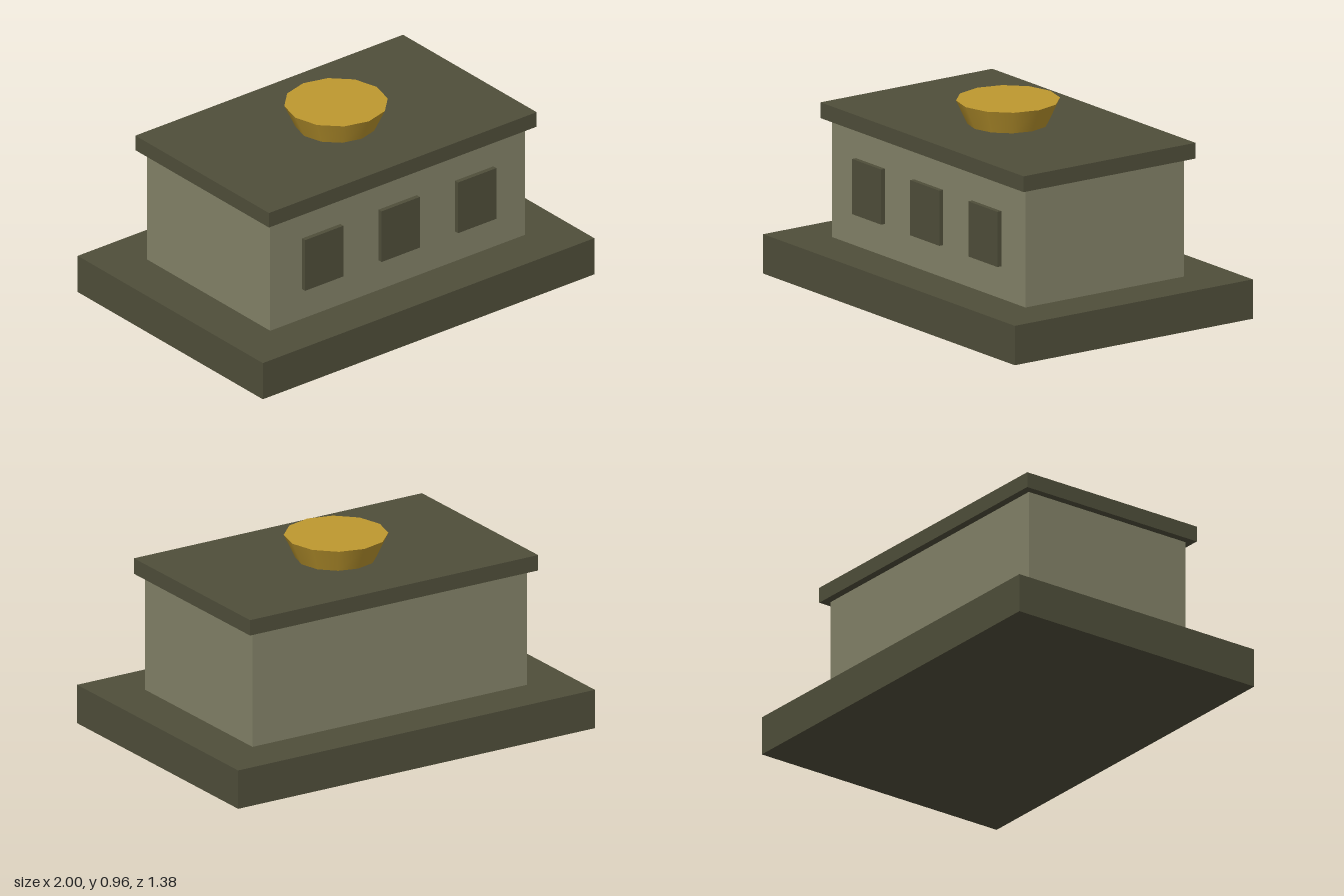
import * as THREE from 'three';

export function createModel() {
  const model = new THREE.Group();
  model.name = 'pavilion';

  const material = (name, color) => {
    const m = new THREE.MeshStandardMaterial({ color });
    m.name = name;
    return m;
  };
  const darkStone = material('dark stone', 0x4f4e3a);
  const paleStone = material('pale stone', 0x838268);
  const gold = material('gold', 0xbe982f);

  const add = (name, geometry, mat, x, y, z) => {
    const mesh = new THREE.Mesh(geometry, mat);
    mesh.name = name;
    mesh.position.set(x, y, z);
    model.add(mesh);
  };
  // Box standing on the height "bottom"
  const block = (name, mat, w, h, d, bottom, x = 0, z = 0) =>
    add(name, new THREE.BoxGeometry(w, h, d), mat, x, bottom + h / 2, z);

  // Plinth, walls and overhanging roof slab
  block('plinth', darkStone, 2, 0.192, 1.385, 0);
  block('walls', paleStone, 1.538, 0.577, 0.923, 0.192);
  block('roofSlab', darkStone, 1.615, 0.077, 1, 0.769);

  // Three raised panels along the front wall
  ['rightPanel', 'middlePanel', 'leftPanel'].forEach((name, i) =>
    block(name, darkStone, 0.231, 0.269, 0.046, 0.35, (i - 1) * 0.4615, 0.4615));

  // Flared twelve-sided bowl on the roof
  add('bowl', new THREE.CylinderGeometry(0.246, 0.192, 0.115, 12), gold, 0, 0.9035, 0);

  return model;
}
